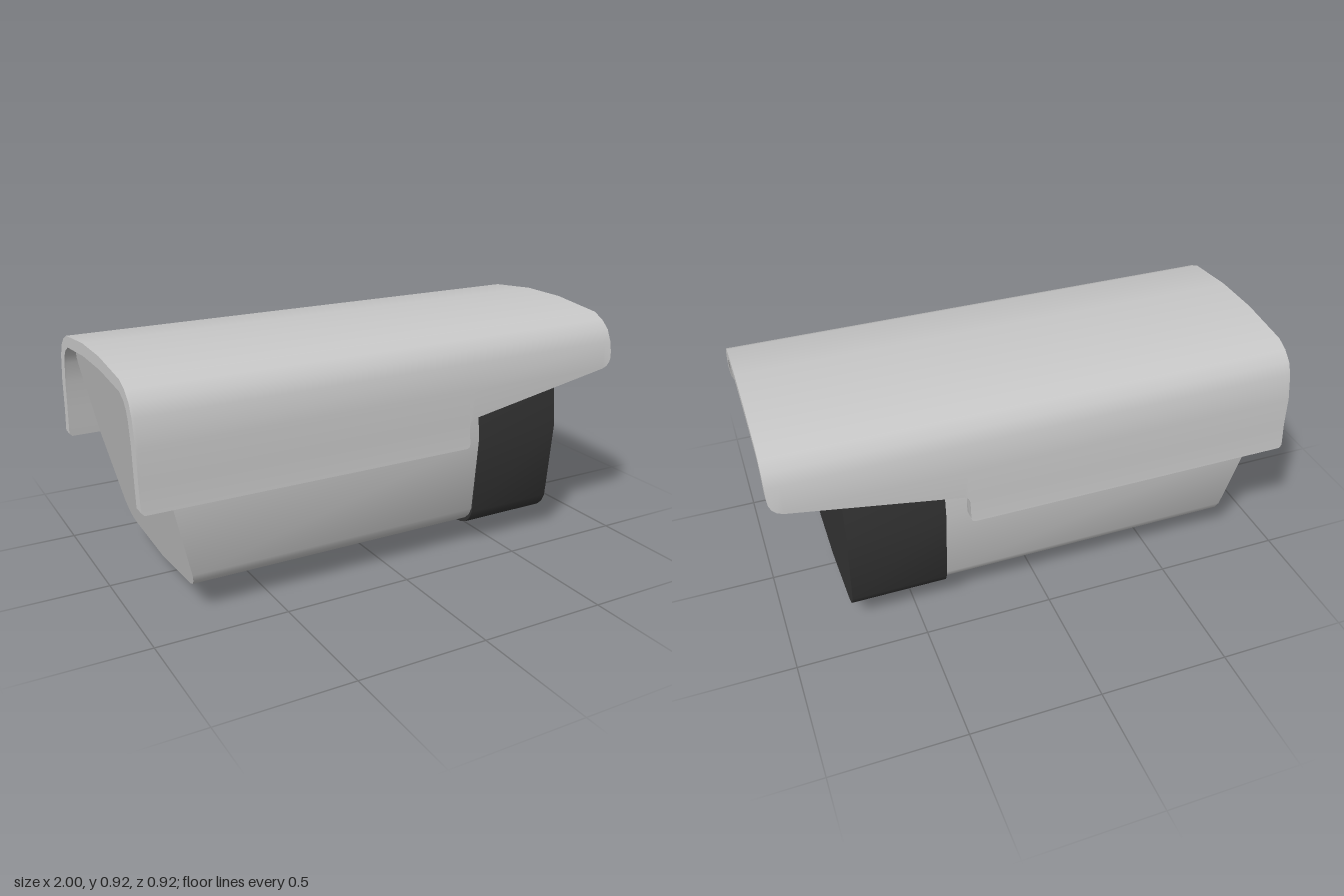
import * as THREE from 'three';
import { toCreasedNormals } from 'three/addons/utils/BufferGeometryUtils.js';

const shellGrey = new THREE.MeshStandardMaterial({ color: 0xc8c8c8 });
shellGrey.name = 'shellGrey';
const frontBlack = new THREE.MeshStandardMaterial({ color: 0x343434 });
frontBlack.name = 'frontBlack';

// Skins a row of closed sections (ordered along +x) and caps both ends.
// Section points i and n-1-i face each other, so caps are strips between them.
function loft(sections) {
  const pos = [];
  const n = sections[0].length;
  const tri = (a, b, c) => {
    const area = b.clone().sub(a).cross(c.clone().sub(a)).length();
    if (area > 1e-7) for (const p of [a, b, c]) pos.push(p.x, p.y, p.z);
  };
  const quad = (a, b, c, d) => { tri(a, b, c); tri(a, c, d); };
  for (let k = 0; k + 1 < sections.length; k++) {
    const s = sections[k], t = sections[k + 1];
    for (let i = 0; i < n; i++) {
      const j = (i + 1) % n;
      quad(s[i], t[i], t[j], s[j]);
    }
  }
  const s = sections[0], e = sections[sections.length - 1];
  for (let i = 0; i + 1 < n / 2; i++) {
    const j = n - 1 - i;
    quad(e[i], e[j], e[j - 1], e[i + 1]);
    quad(s[i], s[i + 1], s[j - 1], s[j]);
  }
  const g = new THREE.BufferGeometry();
  g.setAttribute('position', new THREE.Float32BufferAttribute(pos, 3));
  return toCreasedNormals(g, 0.55);
}

// Mirrors a half profile of [z, y] pairs into a whole one.
const mirrored = (half) => [...half, ...half.map(([z, y]) => [-z, y]).reverse()];

// Half profiles, from the bottom up
const housing = [[0, 0.052], [0.31, 0.083], [0.342, 0.096], [0.366, 0.119], [0.382, 0.152],
  [0.412, 0.465], [0.384, 0.765], [0.372, 0.797], [0.35, 0.824], [0.312, 0.844], [0.1, 0.863]];
const hoodOuter = [[0.462, 0.465], [0.451, 0.57], [0.449, 0.69], [0.43, 0.79],
  [0.409, 0.836], [0.372, 0.87], [0.325, 0.892], [0.1, 0.915]];
const hoodInner = [[0.415, 0.465], [0.407, 0.57], [0.401, 0.69], [0.387, 0.77],
  [0.375, 0.803], [0.353, 0.829], [0.314, 0.849], [0.1, 0.867]];

// Cuts a half profile off below a height.
function trim(half, low) {
  const k = half.findIndex((p) => p[1] >= low);
  if (k <= 0) return half;
  const [a, b] = [half[k - 1], half[k]];
  const z = a[0] + (b[0] - a[0]) * (low - a[1]) / (b[1] - a[1]);
  return half.map((p, i) => (i < k ? [z, low] : p));
}

export function createModel() {
  const group = new THREE.Group();
  const add = (name, sections, material) => {
    const mesh = new THREE.Mesh(loft(sections), material);
    mesh.name = name;
    group.add(mesh);
  };
  const section = (points, xAt) => points.map(([z, y]) => new THREE.Vector3(xAt(y), y, z));

  // Main body, a little slimmer than the front and with a slanted back
  const bodyLoop = mirrored(housing.map(([z, y]) =>
    [z * 0.988, 0.465 + (y - 0.465) * (y < 0.465 ? 0.957 : 0.992)]));
  add('body', [
    section(bodyLoop, (y) => -0.785 - (y - 0.07) * 0.2375),
    section(bodyLoop, () => 0.38),
  ], shellGrey);

  // Dark front block
  const frontLoop = mirrored(housing);
  add('frontWindow', [0.38, 0.75].map((x) => section(frontLoop, () => x)), frontBlack);

  // Sun hood: [x, height of lower edge] along its length
  const edge = [[-1, 0.477], [-0.99, 0.465], [0.285, 0.465], [0.296, 0.469], [0.3, 0.48],
    [0.3, 0.55], [0.305, 0.567], [0.32, 0.577], [0.95, 0.687], [0.972, 0.695],
    [0.988, 0.709], [0.997, 0.727], [1, 0.75]];
  add('sunHood', edge.map(([x, low]) => section([
    ...mirrored(trim(hoodOuter, low)),
    ...mirrored(trim(hoodInner, low)).reverse(),
  ], () => x)), shellGrey);

  // Mounting foot with a shallow V underside
  const footLoop = mirrored([[0, 0], [0.155, 0.017], [0.155, 0.085]]);
  add('mountingFoot', [0.005, 0.379].map((x) => section(footLoop, () => x)), shellGrey);

  return group;
}
